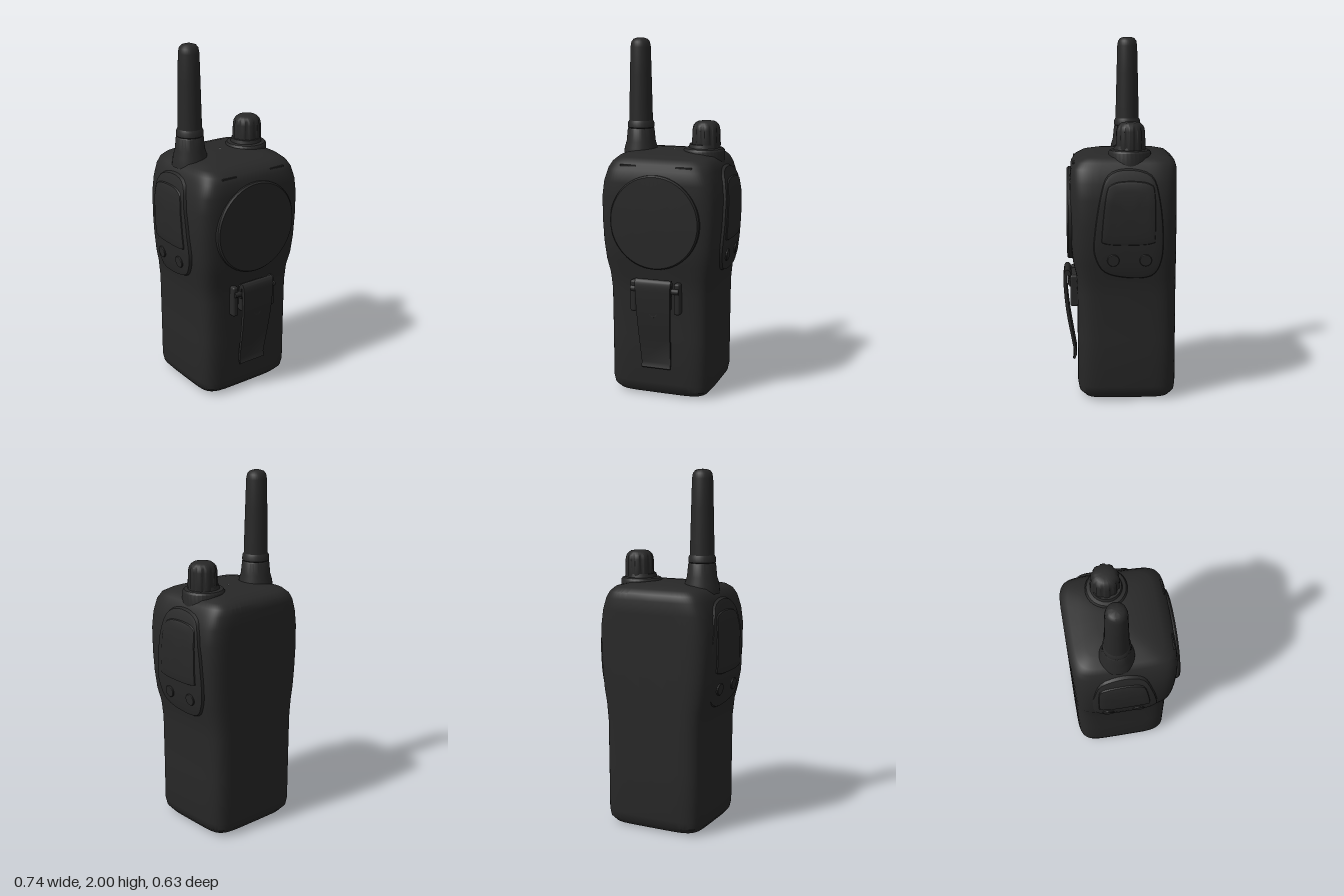
import * as THREE from 'three';
import { toCreasedNormals } from 'three/addons/utils/BufferGeometryUtils.js';
import { RoundedBoxGeometry } from 'three/addons/geometries/RoundedBoxGeometry.js';

const N = 6; // squareness of the body section
// Body sections: y, half width, front z, back z
const SECTIONS = [
  [0, 0.002, 0, -0.08], [0, 0.23, 0.17, -0.26], [0.01, 0.265, 0.2, -0.285], [0.04, 0.29, 0.228, -0.31],
  [0.08, 0.298, 0.235, -0.315], [0.35, 0.299, 0.235, -0.315], [0.6, 0.301, 0.236, -0.315],
  [0.7, 0.311, 0.242, -0.315], [0.78, 0.327, 0.26, -0.315], [0.88, 0.338, 0.268, -0.315],
  [1.0, 0.345, 0.272, -0.315], [1.14, 0.345, 0.275, -0.315], [1.23, 0.332, 0.275, -0.315],
  [1.3, 0.308, 0.268, -0.315], [1.335, 0.288, 0.247, -0.305], [1.36, 0.262, 0.2, -0.275],
  [1.374, 0.2, 0.13, -0.22], [1.383, 0.1, 0.04, -0.14], [1.384, 0.002, -0.05, -0.06],
];

// Body section at any height
function section(y) {
  let i = 1;
  while (i < SECTIONS.length - 2 && SECTIONS[i + 1][0] < y) i++;
  const a = SECTIONS[i], b = SECTIONS[i + 1];
  const t = (y - a[0]) / (b[0] - a[0]);
  return a.map((v, k) => v + (b[k] - v) * t);
}

// x of the body side at a given y and z
function sideX(y, z) {
  const [, w, f, b] = section(y);
  const t = Math.min(0.98, Math.abs((z - (f + b) / 2) / ((f - b) / 2)));
  return w * Math.pow(1 - Math.pow(t, N), 1 / N);
}

// Joins closed rings of points into a surface
function skin(rings, crease = 0.6) {
  const n = rings[0].length, index = [];
  for (let i = 0; i < rings.length - 1; i++) {
    for (let j = 0; j < n; j++) {
      const a = i * n + j, b = i * n + ((j + 1) % n);
      index.push(a, b, a + n, b, b + n, a + n);
    }
  }
  const g = new THREE.BufferGeometry().setFromPoints(rings.flat());
  g.setIndex(index);
  return toCreasedNormals(g, crease);
}

// Ring of points from a function of the angle
const ring = (n, f) => Array.from({ length: n }, (_, j) => f((j / n) * Math.PI * 2));

// Smooth closed outline through a few points
const outline = (pts, n = 48) => new THREE.CatmullRomCurve3(
  pts.map(([u, v]) => new THREE.Vector3(u, v, 0)), true, 'catmullrom', 0.5).getPoints(n).slice(0, n);

const ellipse = (cx, cy, rx, ry, n = 32) =>
  ring(n, (a) => new THREE.Vector3(cx + rx * Math.cos(a), cy + ry * Math.sin(a), 0));

// Raised plate: the outline shrinks through [scale, height] steps, laid on a surface by place()
function plate(points, steps, place) {
  const c = points.reduce((s, p) => s.add(p), new THREE.Vector3()).divideScalar(points.length);
  return skin(steps.map(([s, h]) => points.map((p) =>
    place(c.x + (p.x - c.x) * s, c.y + (p.y - c.y) * s, h))));
}

export function createModel() {
  const model = new THREE.Group();
  const black = new THREE.MeshStandardMaterial({ color: 0x282828 });
  black.name = 'matteBlack';

  const add = (name, geometry, x = 0, y = 0, z = 0, parent = model) => {
    const m = new THREE.Mesh(geometry, black);
    m.name = name;
    m.position.set(x, y, z);
    parent.add(m);
    return m;
  };

  // Housing
  const pw = (v) => Math.sign(v) * Math.pow(Math.abs(v), 2 / N);
  add('body', skin(SECTIONS.map(([y, w, f, b]) => ring(64, (a) => new THREE.Vector3(
    w * pw(Math.cos(a)), y, (f + b) / 2 - ((f - b) / 2) * pw(Math.sin(a)))))));

  // Round speaker cover
  add('speakerCover', plate(ellipse(0, 1.02, 0.257, 0.262, 56),
    [[1, 0.23], [1, 0.281], [0.97, 0.29], [0.5, 0.293], [0, 0.294]],
    (u, v, h) => new THREE.Vector3(u, v, h)));

  // Thin ridges above the speaker
  for (const s of [-1, 1]) add('frontRidge', new THREE.BoxGeometry(0.09, 0.008, 0.02), s * 0.16, 1.325, 0.246);

  // Side panels with a large key and two small ones
  const panel = outline([[0.235, 0.95], [0.215, 1.15], [0.17, 1.28], [0.04, 1.315], [-0.07, 1.28],
    [-0.115, 1.15], [-0.145, 0.95], [-0.145, 0.84], [-0.09, 0.74], [0.04, 0.705], [0.17, 0.715], [0.225, 0.8]]);
  const key = outline([[0.19, 0.95], [0.187, 1.18], [0.16, 1.235], [0.05, 1.25], [-0.045, 1.235],
    [-0.08, 1.18], [-0.105, 0.95], [-0.09, 0.905], [0.04, 0.895], [0.175, 0.905]]);
  const rise = (lo, hi) => [[1, lo], [0.96, hi - 0.002], [0.9, hi], [0.7, hi], [0.4, hi], [0, hi]];
  for (const s of [-1, 1]) {
    const side = new THREE.Group();
    side.name = s > 0 ? 'leftControls' : 'rightControls';
    model.add(side);
    const lay = (name, pts, lo, hi) => {
      const p = s > 0 ? pts : pts.map((q) => new THREE.Vector3(-q.x, q.y, 0)).reverse();
      add(name, plate(p, rise(lo, hi), (u, v, h) =>
        new THREE.Vector3(s * (sideX(v, -s * u * s) + h), v, -s * u)), 0, 0, 0, side);
    };
    lay('sidePanel', panel, -0.012, 0.016);
    lay('talkKey', key, 0.008, 0.023);
    lay('smallKey', ellipse(-0.04, 0.815, 0.034, 0.034), 0.008, 0.024);
    lay('smallKey', ellipse(0.135, 0.815, 0.034, 0.034), 0.008, 0.024);
  }

  // Antenna with its stepped collar
  const lathe = (pts, n = 32) => toCreasedNormals(
    new THREE.LatheGeometry(pts.map(([r, y]) => new THREE.Vector2(r, y)), n), 0.6);
  add('antennaCollar', lathe([[0.1, 1.33], [0.094, 1.385], [0.083, 1.42], [0.076, 1.49],
    [0.072, 1.495], [0.076, 1.5], [0.075, 1.525], [0.066, 1.54], [0, 1.54]]), -0.2, 0, -0.06);
  add('antenna', lathe([[0.068, 1.5], [0.066, 1.6], [0.061, 1.8], [0.057, 1.95],
    [0.052, 1.978], [0.04, 1.993], [0.022, 1.999], [0, 2]]), -0.2, 0, -0.06);

  // Volume knob: round skirt and fluted cap
  add('knobSkirt', lathe([[0.118, 1.31], [0.116, 1.385], [0.108, 1.396], [0.088, 1.4],
    [0.082, 1.42], [0, 1.42]]), 0.18, 0, -0.055);
  const cap = [[1.39, 0.081, 0.04], [1.42, 0.082, 0.04], [1.5, 0.079, 0.05], [1.522, 0.074, 0.04],
    [1.535, 0.064, 0.01], [1.545, 0.05, 0], [1.549, 0.025, 0], [1.55, 0.001, 0]];
  add('knob', skin(cap.map(([y, r, f]) => ring(80, (a) => {
    const q = r * (1 - f + f * Math.tanh(2.5 * Math.cos(10 * a) + 1.2));
    return new THREE.Vector3(q * Math.cos(a), y, -q * Math.sin(a));
  })), 0.7), 0.19, 0, -0.06);

  // Belt clip: side profile (z, y) extruded across, tapering downward
  const clip = new THREE.Shape();
  clip.moveTo(0.268, 0.61);
  clip.lineTo(0.268, 0.67);
  clip.quadraticCurveTo(0.275, 0.71, 0.295, 0.706);
  clip.quadraticCurveTo(0.316, 0.7, 0.314, 0.64);
  clip.quadraticCurveTo(0.308, 0.5, 0.285, 0.38);
  clip.lineTo(0.253, 0.21);
  clip.lineTo(0.262, 0.182);
  clip.lineTo(0.252, 0.175);
  clip.lineTo(0.239, 0.208);
  clip.lineTo(0.268, 0.38);
  clip.quadraticCurveTo(0.288, 0.5, 0.294, 0.62);
  clip.lineTo(0.292, 0.675);
  clip.lineTo(0.282, 0.675);
  clip.lineTo(0.28, 0.61);
  const strip = new THREE.ExtrudeGeometry(clip, { depth: 1, bevelEnabled: false, curveSegments: 8 });
  strip.rotateY(-Math.PI / 2).translate(0.5, 0, 0);
  const p = strip.attributes.position;
  for (let i = 0; i < p.count; i++) p.setX(i, p.getX(i) * (0.155 + 0.075 * p.getY(i)));
  add('beltClip', toCreasedNormals(strip, 0.5));

  // Oval thumb pad on the clip
  add('clipThumbPad', plate(ellipse(0, 0.56, 0.036, 0.075),
    [[1, -0.006], [0.95, 0.003], [0.85, 0.003], [0.78, 0.001], [0, 0.001]],
    (u, v, h) => new THREE.Vector3(u, v, 0.263 + 0.075 * v + h)));

  // Clip mount
  for (const s of [-1, 1]) add('clipBracket', new RoundedBoxGeometry(0.036, 0.18, 0.06, 3, 0.012), s * 0.128, 0.595, 0.245);
  const pin = new THREE.CylinderGeometry(0.016, 0.016, 0.28, 16).rotateZ(Math.PI / 2);
  add('clipPin', pin, 0, 0.64, 0.272);
  add('clipMount', new RoundedBoxGeometry(0.17, 0.16, 0.05, 2, 0.01), 0, 0.6, 0.243);

  return model;
}
